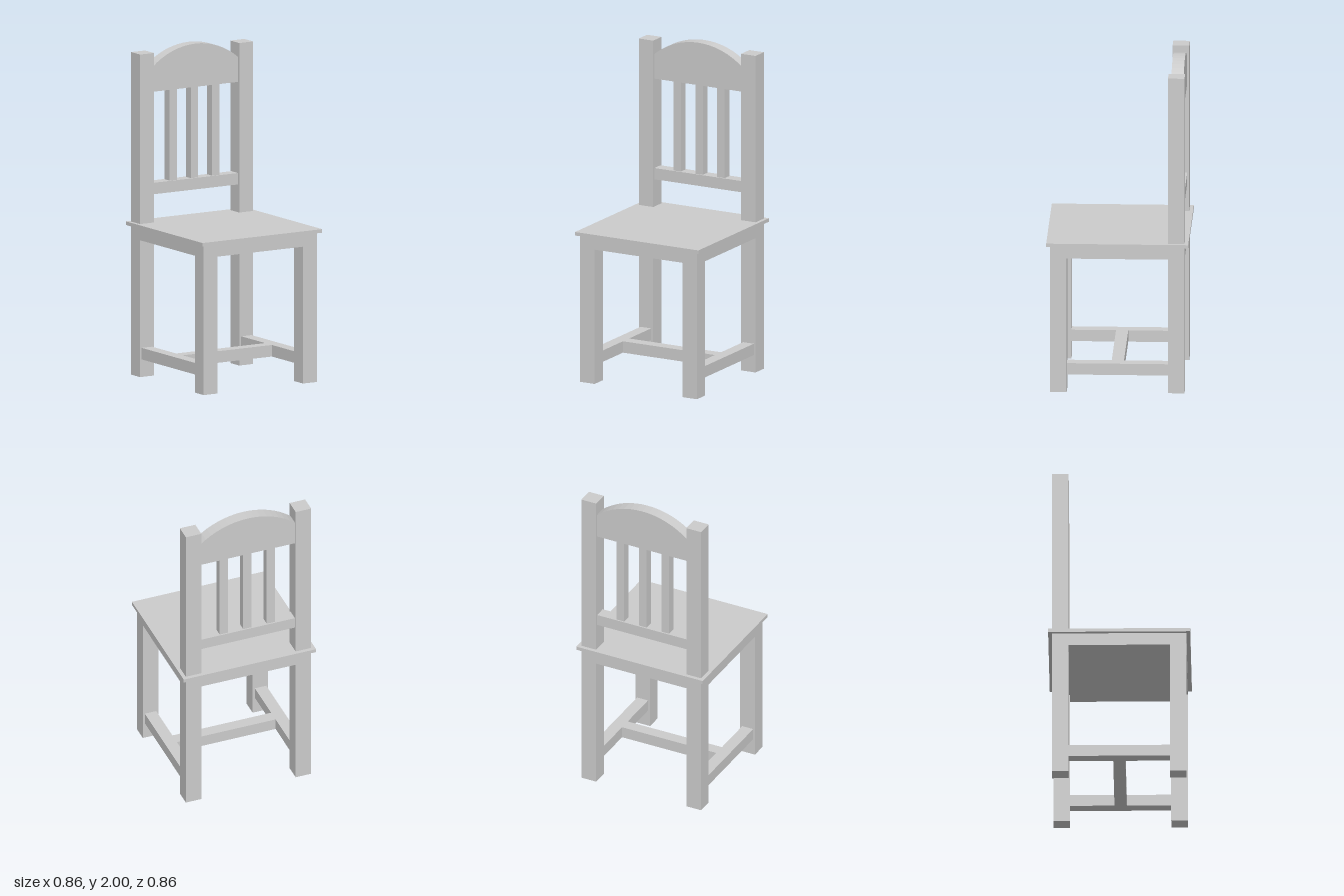
import * as THREE from 'three';

export function createModel() {
  const chair = new THREE.Group();
  chair.name = 'chair';
  const paint = new THREE.MeshStandardMaterial({ color: 0xcccccc });
  paint.name = 'plain grey';

  // Box given by its min and max along each axis
  const box = (name, [x0, x1], [y0, y1], [z0, z1]) => {
    const mesh = new THREE.Mesh(new THREE.BoxGeometry(x1 - x0, y1 - y0, z1 - z0), paint);
    mesh.position.set((x0 + x1) / 2, (y0 + y1) / 2, (z0 + z1) / 2);
    mesh.name = name;
    chair.add(mesh);
  };

  const outer = 0.405, inner = 0.305;    // leg faces
  const barOut = 0.393, barIn = 0.319;   // rails, centred on the legs
  const backZ = [-barOut, -barIn];
  const railY = [0.107, 0.178];

  // Legs, back posts and side stretchers, mirrored left and right
  for (const s of [-1, 1]) {
    const side = s > 0 ? 'left' : 'right';
    const span = (a, b) => (s > 0 ? [a, b] : [-b, -a]);
    box(side + 'FrontLeg', span(inner, outer), [0, 0.915], [inner, outer]);
    box(side + 'BackPost', span(inner, outer), [0, 1.975], [-outer, -inner]);
    box(side + 'Stretcher', span(barIn, barOut), railY, [-inner, inner]);
  }
  box('crossStretcher', [-barIn, barIn], railY, [-0.037, 0.037]);

  // Seat: solid frame between the legs, thin board on top
  box('seatFrameAcross', [-inner, inner], [0.838, 0.915], [-outer, outer]);
  for (const [name, x] of [['leftSeatFrame', [inner, outer]], ['rightSeatFrame', [-outer, -inner]]])
    box(name, x, [0.838, 0.915], [-inner, inner]);
  box('seatBoard', [-0.428, 0.428], [0.915, 0.937], [-0.428, 0.428]);

  // Backrest: lower rail and three spindles
  box('lowerBackRail', [-inner, inner], [1.107, 1.177], backZ);
  for (const x of [-0.152, 0, 0.152])
    box('spindle', [x - 0.026, x + 0.026], [1.177, 1.735], [-0.384, -0.328]);

  // Arched crest rail
  const rise = 0.112, top = 2;
  const radius = (inner * inner + rise * rise) / (2 * rise);
  const half = Math.asin(inner / radius);
  const crest = new THREE.Shape();
  crest.moveTo(-inner, 1.735);
  crest.lineTo(inner, 1.735);
  crest.absarc(0, top - radius, radius, Math.PI / 2 - half, Math.PI / 2 + half, false);
  crest.closePath();
  const crestRail = new THREE.Mesh(
    new THREE.ExtrudeGeometry(crest, { depth: barOut - barIn, bevelEnabled: false, curveSegments: 8 }),
    paint
  );
  crestRail.position.z = -barOut;
  crestRail.name = 'crestRail';
  chair.add(crestRail);

  return chair;
}
